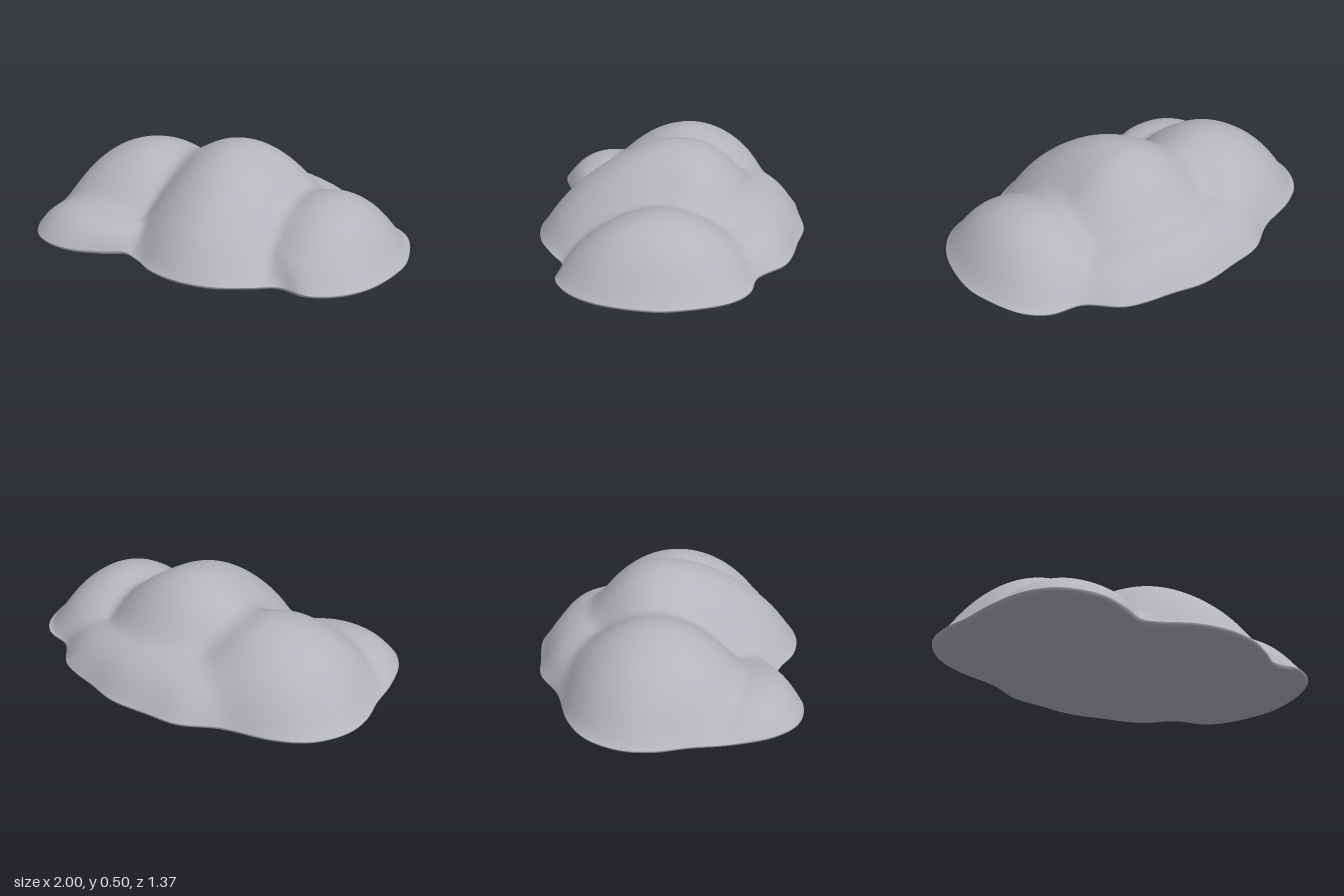
import * as THREE from 'three';

// Ground outline of the mound as (x, z), counter-clockwise seen from above
const OUTLINE = [
  [1, 0.02], [0.98, -0.12], [0.9, -0.32], [0.8, -0.41], [0.64, -0.45], [0.5, -0.58], [0.4, -0.62],
  [0.25, -0.65], [0.07, -0.69], [-0.15, -0.67], [-0.32, -0.645], [-0.5, -0.54], [-0.75, -0.46],
  [-0.9, -0.36], [-0.99, -0.2], [-1, -0.05], [-0.96, 0.12], [-0.93, 0.3], [-0.86, 0.5],
  [-0.75, 0.62], [-0.57, 0.66], [-0.4, 0.61], [-0.28, 0.55], [-0.18, 0.58], [-0.05, 0.65],
  [0.12, 0.68], [0.3, 0.65], [0.45, 0.57], [0.57, 0.495], [0.72, 0.505], [0.85, 0.43], [0.95, 0.28],
];

// Billows: centre, height, reach towards -x, +x, -z, +z, and steepness towards back and front
const LUMPS = [
  { x: 0.06, z: -0.05, h: 0.498, reach: [0.55, 0.55, 0.46, 0.78], steep: [0.85, 1.1], lean: 0.12 },
  { x: -0.46, z: -0.06, h: 0.4, reach: [0.56, 0.48, 0.5, 0.52], steep: [0.9, 0.95], lean: -0.1 },
  { x: 0.6, z: 0.02, h: 0.322, reach: [0.42, 0.42, 0.48, 0.52], steep: [0.95, 1], lean: 0.1 },
  { x: 0, z: -0.35, h: 0.235, reach: [0.75, 0.75, 0.36, 0.4], steep: [0.8, 0.8], lean: 0 },
  { x: -0.59, z: 0.42, h: 0.155, reach: [0.42, 0.42, 0.32, 0.28], steep: [0.8, 0.8], lean: 0 },
];
const RIM = 0.027;
const BLEND = 7;

// Smooth maximum of all billows, falling to the rim at t = 1
function heightAt(x, z, t) {
  let sum = Math.pow(0.115 * (1 - t ** 8), BLEND);
  for (const { x: cx, z: cz, h, reach, steep, lean } of LUMPS) {
    const dx = x - cx - lean * Math.max(0, z);
    const dz = z - cz;
    const d2 = (dx / reach[dx < 0 ? 0 : 1]) ** 2 + (dz / reach[dz < 0 ? 2 : 3]) ** 2;
    // Ease between the two steepnesses so no seam shows at the crest
    const front = THREE.MathUtils.smoothstep(dz, -0.2, 0.2);
    const power = THREE.MathUtils.lerp(steep[0], steep[1], front);
    if (d2 < 1) sum += Math.pow(h * Math.pow(1 - d2, power), BLEND);
  }
  return RIM + 0.94 * Math.pow(sum, 1 / BLEND) * (1 - t ** 16);
}

function moundGeometry() {
  const sides = 192, topRings = 56;
  const curve = new THREE.CatmullRomCurve3(
    OUTLINE.map(([x, z]) => new THREE.Vector3(x, 0, z)), true);
  const edge = Array.from({ length: sides }, (_, i) => curve.getPoint(i / sides));

  // Rings run over the top, round the thin rim and back under the base
  const rings = [];
  for (let r = 1; r <= topRings; r++) rings.push({ t: 1 - (1 - r / topRings) ** 1.4 });
  rings.push({ t: 0.99, y: 0.016 }, { t: 0.97, y: 0.009 }, { t: 0.94, y: 0.006 }, { t: 0.5, y: 0.002 });

  const pos = [0, heightAt(0, 0, 0), 0];
  for (const { t, y } of rings) {
    for (const p of edge) {
      const x = p.x * t, z = p.z * t;
      pos.push(x, y ?? heightAt(x, z, t), z);
    }
  }
  const last = pos.length / 3;
  pos.push(0, 0, 0);

  const index = [];
  const at = (r, i) => 1 + r * sides + (i % sides);
  for (let i = 0; i < sides; i++) {
    index.push(0, at(0, i), at(0, i + 1));
    for (let r = 0; r < rings.length - 1; r++) {
      const a = at(r, i), b = at(r + 1, i), c = at(r + 1, i + 1), d = at(r, i + 1);
      index.push(a, b, c, a, c, d);
    }
    index.push(at(rings.length - 1, i), last, at(rings.length - 1, i + 1));
  }

  const geometry = new THREE.BufferGeometry();
  geometry.setAttribute('position', new THREE.Float32BufferAttribute(pos, 3));
  geometry.setIndex(index);
  geometry.computeVertexNormals();
  return geometry;
}

export function createModel() {
  const group = new THREE.Group();
  group.name = 'cloudMound';
  const grey = new THREE.MeshStandardMaterial({ color: 0xb4b4bc });
  grey.name = 'soft grey';
  const mound = new THREE.Mesh(moundGeometry(), grey);
  mound.name = 'billowedBody';
  group.add(mound);
  return group;
}
